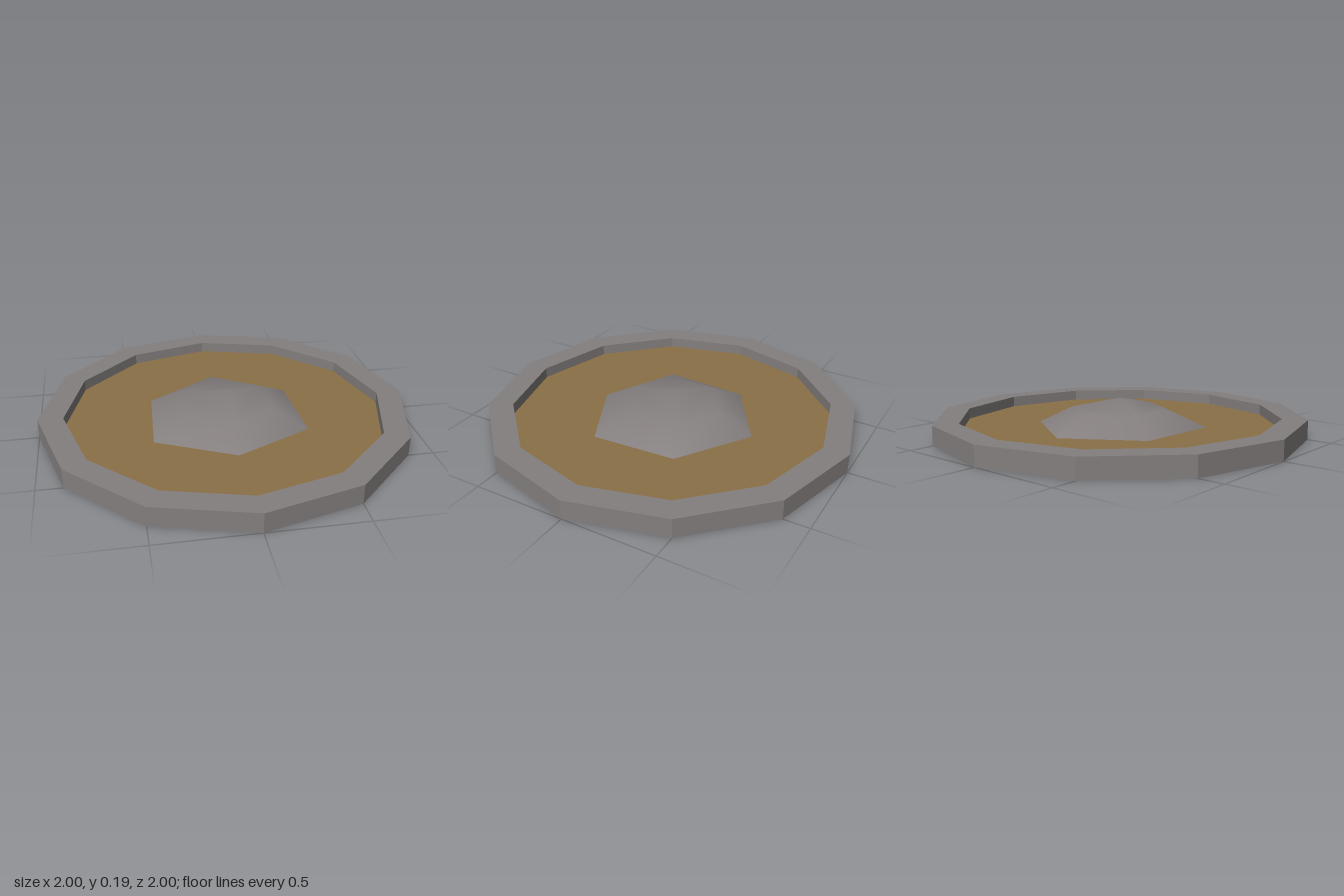
import * as THREE from 'three';

const SIDES = 12, RIM_Y = 0.105, FLOOR_Y = 0.047, INNER = 0.866, LEDGE_Y = 0.137;

const stone = new THREE.MeshStandardMaterial({ color: 0x857f7f });
stone.name = 'grey stone';
const sand = new THREE.MeshStandardMaterial({ color: 0x8a7047 });
sand.name = 'brown sand';

// Twelve-sided tray: underside, outer wall, rim and inner wall, faceted
function tray() {
  const profile = [[0, 0], [1, 0], [1, RIM_Y], [INNER, RIM_Y], [INNER, FLOOR_Y]]
    .map(([r, y]) => new THREE.Vector2(r, y));
  const geo = new THREE.LatheGeometry(profile, SIDES).toNonIndexed();
  geo.computeVertexNormals();
  return geo;
}

// Smooth mound: hexagonal foot, narrower hexagonal ledge, three-sided peak
function mound() {
  const foot = [[0, 0.43], [0.41, 0.23], [0.385, -0.23], [0, -0.48], [-0.385, -0.23], [-0.41, 0.23]];
  const ledge = [[0, 0.262], [0.23, 0.13], [0.23, -0.135], [0, -0.278], [-0.23, -0.135], [-0.23, 0.13]];
  const positions = [];
  foot.forEach(([x, z]) => positions.push(x, FLOOR_Y, z));
  ledge.forEach(([x, z]) => positions.push(x, LEDGE_Y, z));
  positions.push(0, 0.193, 0);

  const index = [];
  for (let i = 0; i < 6; i++) {
    const j = (i + 1) % 6;
    index.push(i, j, 6 + j, i, 6 + j, 6 + i);
  }
  // each peak face spans two ledge sides and leaves a flat corner outside it
  for (let i = 0; i < 6; i += 2) {
    const a = 6 + i, b = 7 + i, c = 6 + (i + 2) % 6;
    index.push(a, b, c, a, c, 12);
  }
  const geo = new THREE.BufferGeometry();
  geo.setAttribute('position', new THREE.Float32BufferAttribute(positions, 3));
  geo.setIndex(index);
  geo.computeVertexNormals();
  return geo;
}

export function createModel() {
  const group = new THREE.Group();
  group.name = 'trayWithMound';
  const add = (name, geo, mat) => {
    const mesh = new THREE.Mesh(geo, mat);
    mesh.name = name;
    group.add(mesh);
  };
  add('tray', tray(), stone);
  add('floor', new THREE.CircleGeometry(INNER, SIDES).rotateX(-Math.PI / 2).translate(0, FLOOR_Y, 0), sand);
  add('mound', mound(), stone);
  return group;
}
